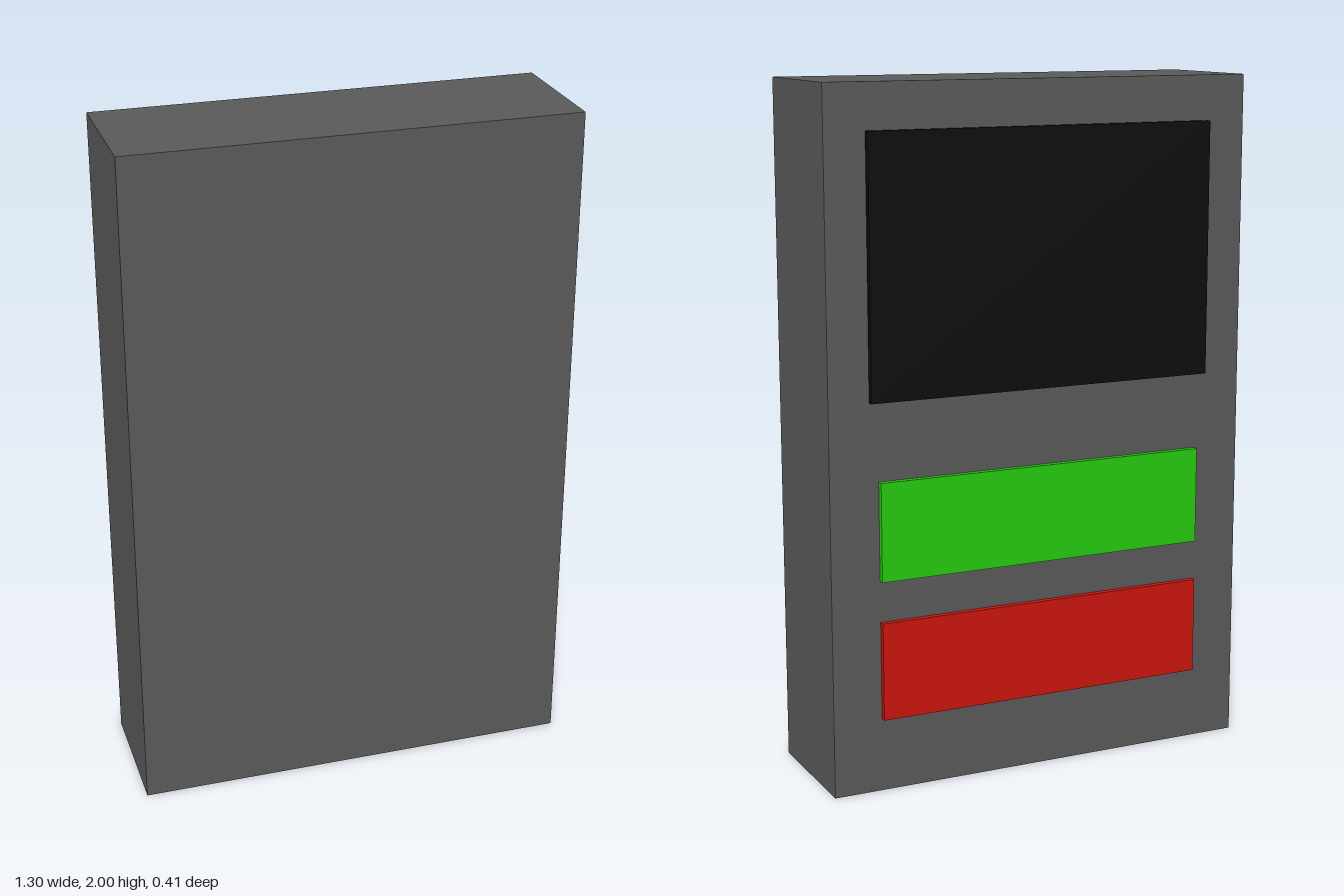
import * as THREE from 'three';

// Box given by its extents on each axis
function box(name, color, [x0, x1], [y0, y1], [z0, z1]) {
  const mesh = new THREE.Mesh(
    new THREE.BoxGeometry(x1 - x0, y1 - y0, z1 - z0),
    new THREE.MeshStandardMaterial({ color })
  );
  mesh.position.set((x0 + x1) / 2, (y0 + y1) / 2, (z0 + z1) / 2);
  mesh.name = name;
  return mesh;
}

export function createModel() {
  const group = new THREE.Group();
  group.name = 'handheldDevice';
  const back = -0.187;
  const raised = [-0.205, back]; // depth of the raised panels

  // Casing
  group.add(box('casing', 0x595959, [-0.65, 0.65], [0, 2], [back, 0.205]));

  // Screen and the two wide buttons below it
  group.add(box('screen', 0x0d0d0d, [-0.53, 0.53], [1.13, 1.87], raised));
  group.add(box('greenButton', 0x26c90f, [-0.505, 0.505], [0.62, 0.905], raised));
  group.add(box('redButton', 0xc9150d, [-0.505, 0.505], [0.215, 0.5], raised));

  return group;
}
